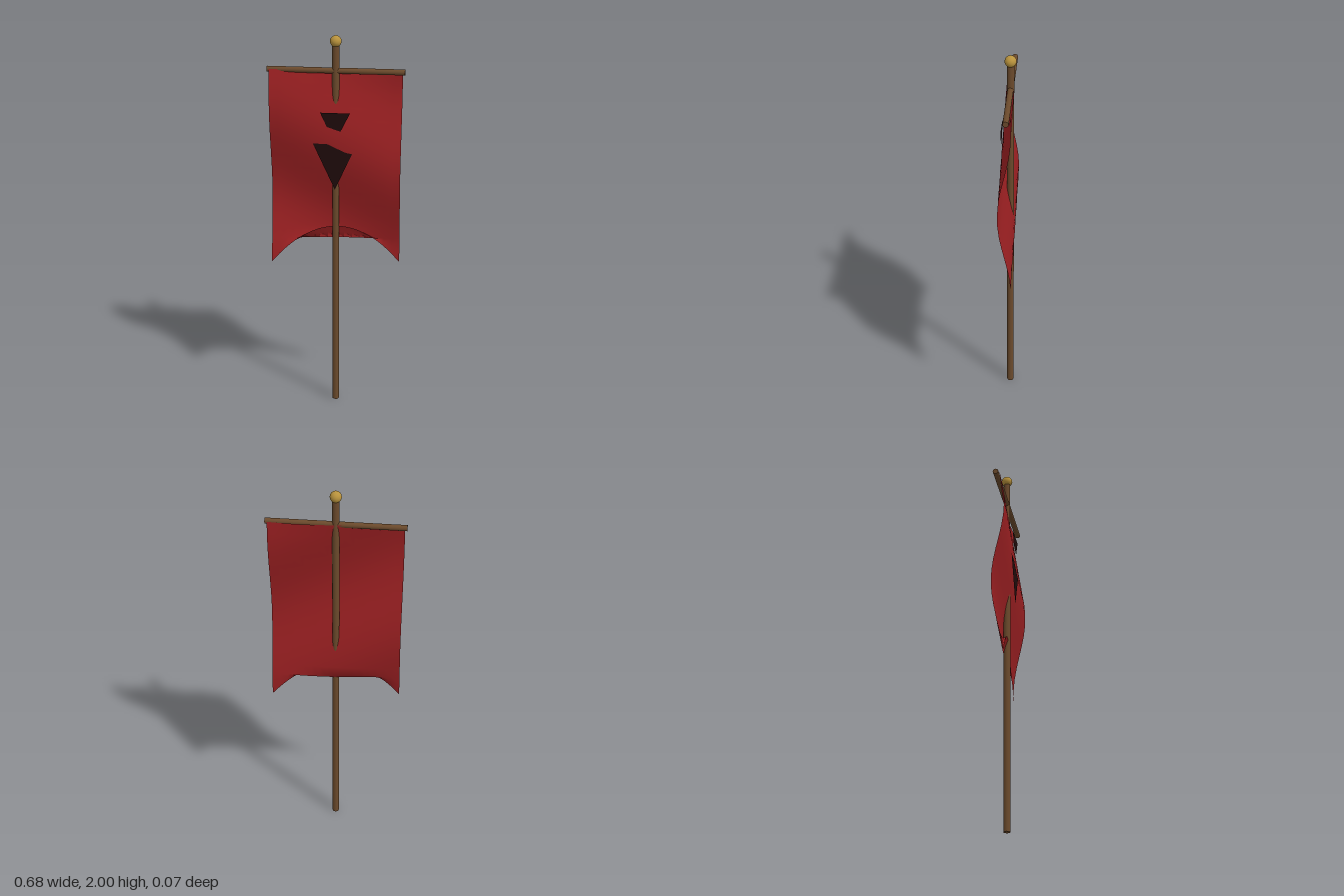
import * as THREE from 'three';

export function createModel() {
  const model = new THREE.Group();
  const material = (name, color, side = THREE.FrontSide) => {
    const m = new THREE.MeshStandardMaterial({ color, side });
    m.name = name;
    return m;
  };
  const wood = material('brown wood', 0x6b4a2c);
  const gold = material('dull gold', 0xb8923c);
  const cloth = material('red cloth', 0x9c2022, THREE.DoubleSide);
  const dark = material('dark emblem', 0x1f0b0b, THREE.DoubleSide);

  const add = (name, geometry, mat, x = 0, y = 0, z = 0) => {
    const mesh = new THREE.Mesh(geometry, mat);
    mesh.name = name;
    mesh.position.set(x, y, z);
    model.add(mesh);
    return mesh;
  };

  // Pole, crossbar and finial share one axis just behind the centre
  const axisZ = -0.009;
  add('pole', new THREE.CylinderGeometry(0.0175, 0.0175, 1.95, 16), wood, 0, 0.975, axisZ);
  add('crossbar', new THREE.CylinderGeometry(0.0145, 0.0145, 0.68, 16), wood, 0, 1.825, axisZ)
    .rotation.z = Math.PI / 2;
  add('finial', new THREE.SphereGeometry(0.0285, 24, 16), gold, 0, 1.9715, axisZ);

  // Banner: a slanted wave, with the lower hem lifted and folded forward in the middle
  const halfWidth = 0.328, top = 1.828, bottom = 0.81, hem = 0.1275;
  const banner = new THREE.PlaneGeometry(halfWidth * 2, top - bottom, 16, 16);
  banner.translate(0, (top + bottom) / 2, 0);
  const p = banner.attributes.position;
  for (let i = 0; i < p.count; i++) {
    const x = p.getX(i), y = p.getY(i);
    const arch = 0.2 * (1 - (x / halfWidth) ** 2);
    const lift = arch * Math.max(0, 1 - (y - bottom) / hem);
    const wave = 0.001 + 0.033 * Math.cos(7 * (y - 1.47) + 3.7 * x);
    p.setXYZ(i, x, y + lift, wave);
  }
  banner.computeVertexNormals();
  add('banner', banner, cloth);

  // Flat emblem pieces on the front of the banner
  const emblem = (name, points) => add(name, new THREE.ShapeGeometry(
    new THREE.Shape(points.map(([x, y]) => new THREE.Vector2(x, y)))), dark, 0, 0, 0.0352);
  emblem('upperEmblem', [[-0.073, 1.622], [-0.04, 1.55], [0.028, 1.527], [0.075, 1.622]]);
  emblem('lowerEmblem', [[-0.11, 1.462], [0, 1.222], [0.086, 1.412], [0.055, 1.418],
    [0.005, 1.44], [-0.035, 1.46]]);

  return model;
}
